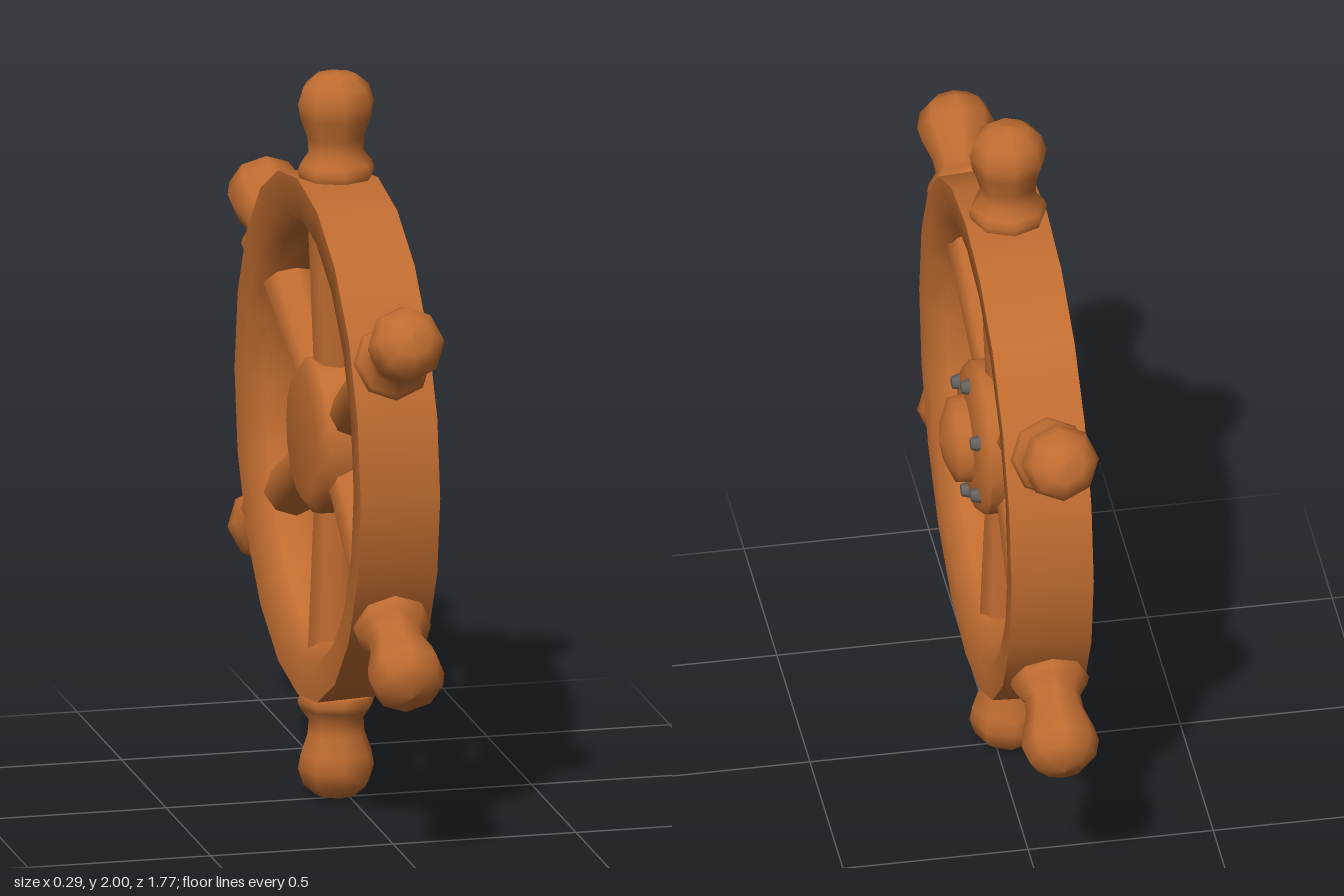
import * as THREE from 'three';

export function createModel() {
  const wood = new THREE.MeshStandardMaterial({ color: 0xc06c30 });
  wood.name = 'warm wood';
  const iron = new THREE.MeshStandardMaterial({ color: 0x66625e });
  iron.name = 'grey iron';

  const model = new THREE.Group();
  model.name = 'shipWheel';
  const lathe = (name, pts, sides, parent, mat = wood) => {
    const g = new THREE.LatheGeometry(pts.map(p => new THREE.Vector2(p[0], p[1])), sides);
    const m = new THREE.Mesh(g, mat);
    m.name = name;
    parent.add(m);
    return m;
  };

  // Turned parts share the axle, which points along +x
  const axle = new THREE.Group();
  axle.name = 'axleParts';
  axle.position.y = 1;
  axle.rotation.z = -Math.PI / 2;
  model.add(axle);

  // Rim: outer band with sharp edges, and a rounded face and inside
  lathe('rimBand', [[0.71, -0.14], [0.7, 0.08]], 20, axle);
  lathe('rimBody', [[0.7, 0.08], [0.61, 0.075], [0.565, 0.03], [0.56, -0.03],
    [0.565, -0.09], [0.61, -0.135], [0.71, -0.14]], 20, axle);

  // Hub drum, its face and the domed boss
  lathe('hubDrum', [[0, -0.13], [0.17, -0.13], [0.21, -0.1], [0.21, 0.045]], 16, axle);
  lathe('hubFace', [[0.21, 0.045], [0.19, 0.068], [0.12, 0.078], [0, 0.08]], 16, axle);
  lathe('boss', [[0.12, 0.07], [0.115, 0.115], [0.06, 0.14], [0, 0.152]], 16, axle);

  // Six spokes with handles, and a bolt beside each
  const handleProfile = [[0.1, 0.712], [0.106, 0.73], [0.098, 0.75], [0.075, 0.78], [0.078, 0.82],
    [0.097, 0.875], [0.104, 0.915], [0.09, 0.96], [0.055, 0.99], [0, 1]];
  for (let i = 0; i < 6; i++) {
    const arm = new THREE.Group();
    arm.name = 'arm' + (i + 1);
    arm.position.set(-0.035, 1, 0);
    arm.rotation.x = i * Math.PI / 3;
    model.add(arm);

    lathe('spoke', [[0.058, 0.12], [0.078, 0.62]], 8, arm);
    lathe('handle', handleProfile, 8, arm);
    lathe('handleBase', [[0, 0.712], [0.1, 0.712]], 8, arm);

    const bolt = new THREE.Mesh(new THREE.CylinderGeometry(0.016, 0.025, 0.03, 6), iron);
    bolt.name = 'bolt';
    bolt.rotation.z = -Math.PI / 2;
    bolt.position.set(0.112, 0.167, 0);
    arm.add(bolt);
  }
  return model;
}
